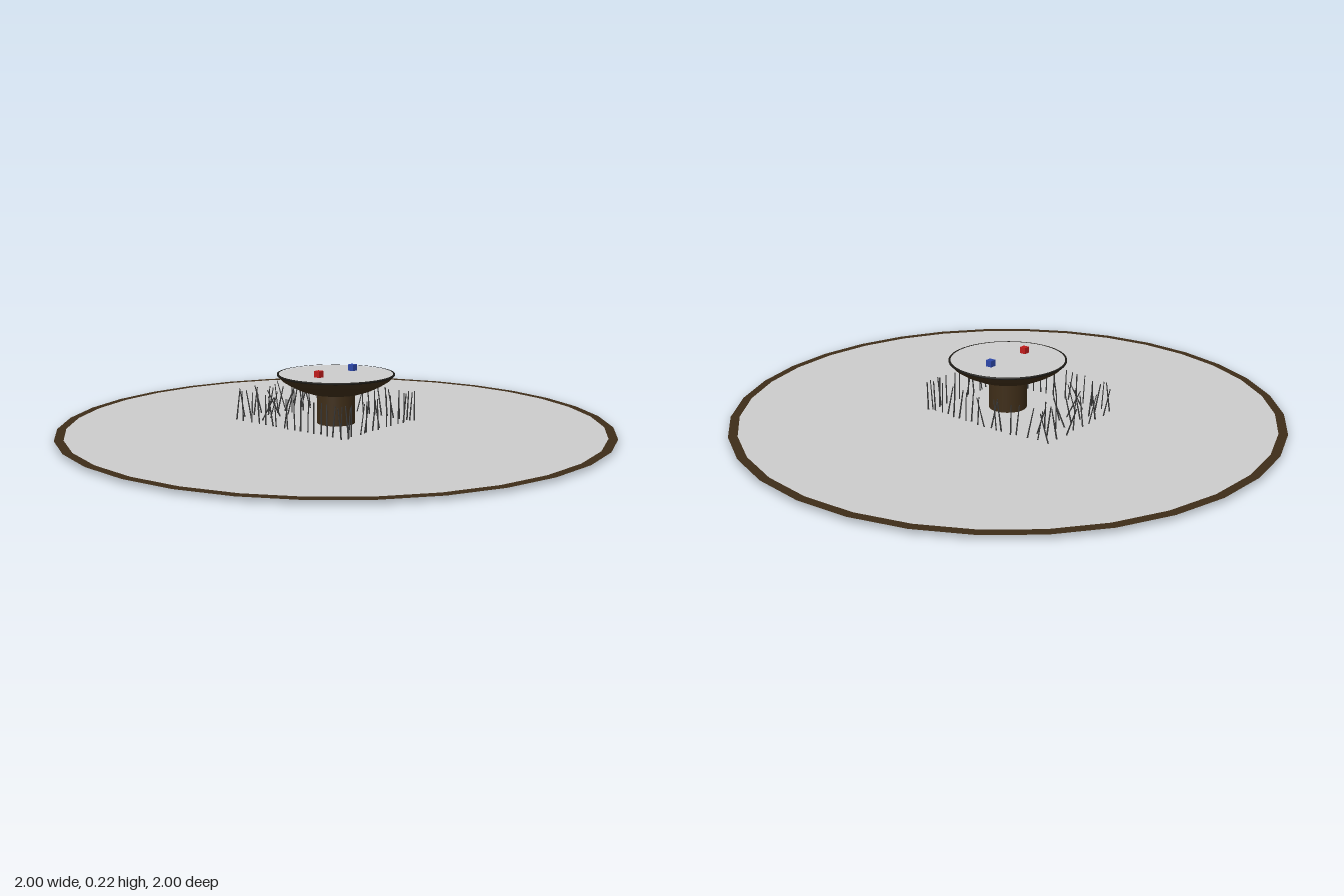
import * as THREE from 'three';

const mat = (color, side = THREE.FrontSide) => new THREE.MeshStandardMaterial({ color, side });

export function createModel() {
  const model = new THREE.Group();
  const brown = mat(0x3e2d18), grey = mat(0xcccccc), dark = mat(0x1c1a16);

  const add = (name, geometry, material, x = 0, y = 0, z = 0, parent = model) => {
    const mesh = new THREE.Mesh(geometry, material);
    mesh.name = name;
    mesh.position.set(x, y, z);
    parent.add(mesh);
    return mesh;
  };
  // Flat ring facing up, or down when flipped
  const flat = (inner, outer, sides, down = false) =>
    new THREE.RingGeometry(inner, outer, sides).rotateX(down ? Math.PI / 2 : -Math.PI / 2);
  const lathe = (points, sides) =>
    new THREE.LatheGeometry(points.map(([r, y]) => new THREE.Vector2(r, y)), sides);

  // Wide thin base plate with a brown border and a hole under the stem
  const floorY = 0.012, stemR = 0.07, topY = 0.193;
  add('baseUnderside', flat(0.065, 1, 32, true), brown);
  add('baseBorder', flat(0.968, 1, 32), brown, 0, floorY);
  add('baseSurface', flat(0.065, 0.968, 32), grey, 0, floorY);

  // Hollow stem
  add('stem', new THREE.CylinderGeometry(stemR, stemR, 0.113, 32, 1, true), brown, 0, floorY + 0.0565);
  add('stemInside', new THREE.CylinderGeometry(0.066, 0.066, 0.15, 32, 1, true),
    mat(0xcccccc, THREE.BackSide), 0, floorY + 0.075);

  // Bowl-shaped table with a thin dark edge
  add('tableBowl', lathe([[stemR, 0.122], [0.1, 0.126], [0.135, 0.138], [0.17, 0.155],
    [0.197, 0.172], [0.212, 0.188]], 48), brown);
  add('tableEdge', lathe([[0.212, 0.188], [0.215, 0.19], [0.215, topY + 0.002], [0.208, topY + 0.002]], 48), dark);
  add('tableTop', new THREE.CircleGeometry(0.21, 48).rotateX(-Math.PI / 2), grey, 0, topY);

  // Two small cubes on the table
  const cube = new THREE.BoxGeometry(0.024, 0.024, 0.024);
  add('redCube', cube, mat(0xc01c1c), -0.098, 0.204, 0);
  add('blueCube', cube, mat(0x2c46a8), 0.098, 0.204, 0);

  // Thin leaning stalks in rows around the table
  let seed = 11;
  const rand = () => (seed = (seed * 16807) % 2147483647) / 2147483647;
  const jitter = (amount) => (rand() - 0.5) * 2 * amount;
  const stalks = new THREE.Group();
  stalks.name = 'stalks';
  model.add(stalks);
  const stalkMat = mat(0x3a3a3a);
  const stalkGeo = new THREE.CylinderGeometry(0.002, 0.003, 0.11, 4).translate(0, 0.055, 0);
  const plant = (x, z, lean) => {
    const stalk = add('stalk', stalkGeo, stalkMat, x + jitter(0.008), floorY, z + jitter(0.008), stalks);
    stalk.rotation.set(jitter(lean), rand() * 3, jitter(lean));
  };
  for (let i = 0; i < 15; i++) {
    const t = -0.2 + (0.4 * i) / 14;
    plant(t, 0.19, 0.15);
    plant(-0.195, t, 0.12);
    plant(0.205, t, 0.2);
  }
  for (const z of [-0.24, -0.285, -0.325])
    for (let i = 0; i < 9; i++) plant(-0.19 + 0.0475 * i, z, 0.3);

  return model;
}
